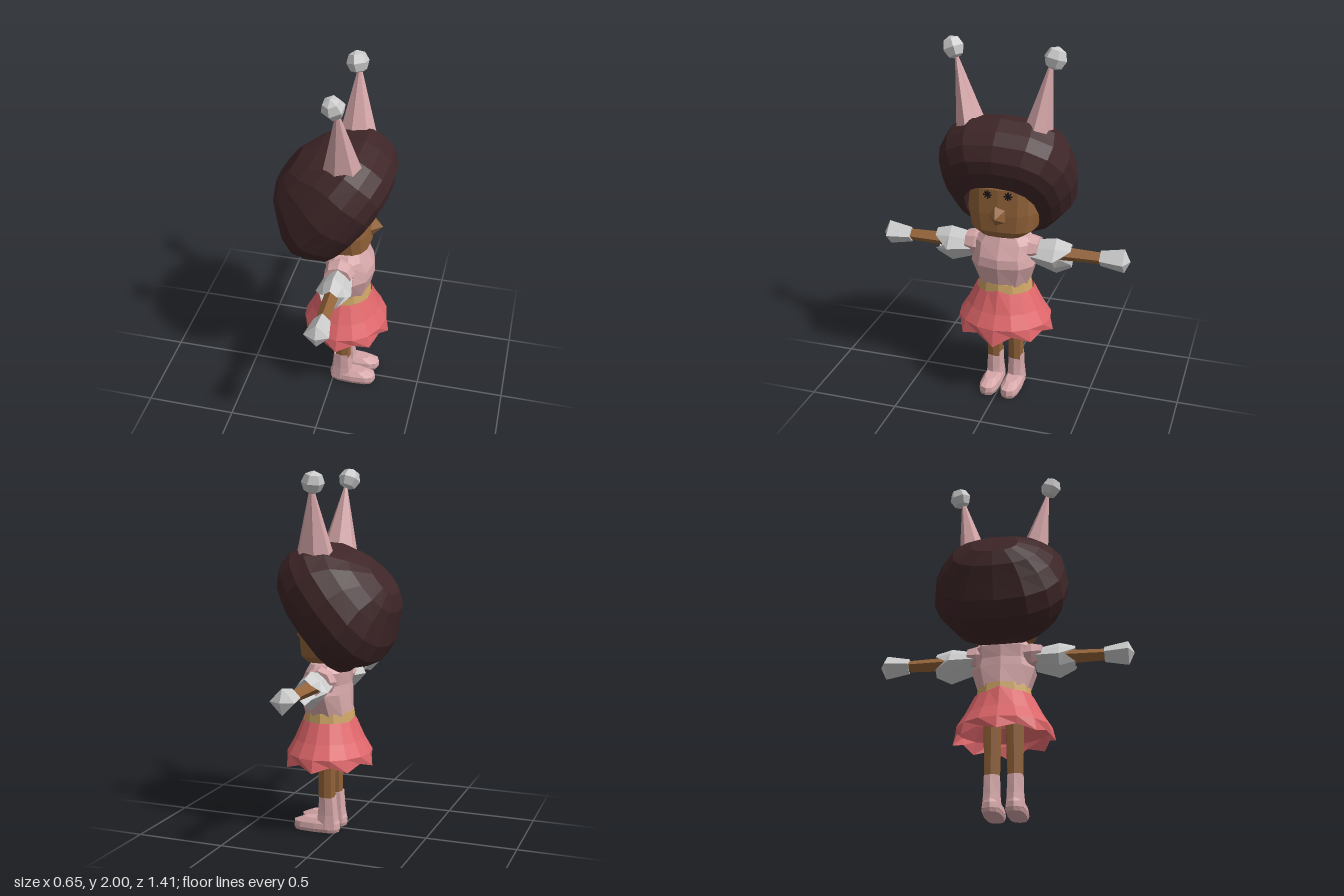
import * as THREE from 'three';

const mat = (name, color, side = THREE.FrontSide) => {
  const m = new THREE.MeshStandardMaterial({ color, side });
  m.name = name;
  return m;
};

// Faceted normals
const facet = (geo) => {
  const g = geo.index ? geo.toNonIndexed() : geo;
  g.computeVertexNormals();
  return g;
};

// Loft of superelliptic rings; each row is [y, centreX, radiusX, radiusZ, centreZ].
// shape(point, rowIndex, sideIndex) may move a vertex.
function loft(rows, sides, { power = 2, capped = true, shape } = {}) {
  const soft = (v) => Math.sign(v) * Math.pow(Math.abs(v), 2 / power);
  const rings = rows.map(([y, cx, rx, rz, cz = 0], r) =>
    Array.from({ length: sides }, (_, i) => {
      const a = (i / sides) * Math.PI * 2;
      const p = new THREE.Vector3(cx + rx * soft(Math.cos(a)), y, cz + rz * soft(Math.sin(a)));
      if (shape) shape(p, r, i);
      return p;
    }));
  if (capped) {
    const middle = ([y, cx, , , cz = 0]) => Array(sides).fill(new THREE.Vector3(cx, y, cz));
    rings.unshift(middle(rows[0]));
    rings.push(middle(rows[rows.length - 1]));
  }
  const pos = [];
  const tri = (a, b, c) => {
    if (a.distanceTo(b) > 1e-6 && b.distanceTo(c) > 1e-6 && c.distanceTo(a) > 1e-6)
      for (const p of [a, b, c]) pos.push(p.x, p.y, p.z);
  };
  for (let r = 0; r + 1 < rings.length; r++) {
    for (let i = 0; i < sides; i++) {
      const j = (i + 1) % sides;
      const [a, b, c, d] = [rings[r][i], rings[r][j], rings[r + 1][j], rings[r + 1][i]];
      tri(a, d, c);
      tri(a, c, b);
    }
  }
  const g = new THREE.BufferGeometry();
  g.setAttribute('position', new THREE.Float32BufferAttribute(pos, 3));
  return facet(g);
}

export function createModel() {
  const model = new THREE.Group();
  const hairBrown = mat('hairBrown', 0x3f2628);
  const skin = mat('skin', 0x936339);
  const pink = mat('pink', 0xd6a7a9);
  const grey = mat('grey', 0xcccccc, THREE.DoubleSide);
  const coral = mat('coral', 0xe0676b, THREE.DoubleSide);
  const tan = mat('tan', 0xcfa766);
  const ink = mat('ink', 0x1c1416);

  // Head, trunk and legs sit slightly to one side of the arm span
  const body = new THREE.Group();
  body.name = 'body';
  body.position.z = -0.011;
  model.add(body);

  const add = (name, geo, material, parent = body) => {
    const m = new THREE.Mesh(geo, material);
    m.name = name;
    parent.add(m);
    return m;
  };

  // Tilted dome of hair with a rolled fringe around the face
  const hair = add('hair', loft([
    [0.09, -0.33, 0.14, 0.15],
    [-0.05, -0.35, 0.235, 0.205],
    [-0.025, -0.315, 0.295, 0.27],
    [0.01, -0.285, 0.325, 0.315],
    [0.08, -0.28, 0.365, 0.36],
    [0.16, -0.285, 0.38, 0.378],
    [0.25, -0.275, 0.355, 0.362],
    [0.33, -0.28, 0.285, 0.31],
    [0.40, -0.31, 0.20, 0.24],
    [0.45, -0.33, 0.10, 0.13],
  ], 16, { power: 2.5 }), hairBrown);
  hair.position.set(0.3, 1.4, -0.002);
  hair.rotation.z = 0.906;

  // Head, nose and neck
  add('head', loft([
    [0.96, 0.065, 0.11, 0.12],
    [1.00, 0.045, 0.155, 0.18],
    [1.10, 0.025, 0.18, 0.20],
    [1.24, 0.02, 0.18, 0.20],
    [1.32, 0.00, 0.14, 0.16],
  ], 16, { power: 3 }), skin);
  const nose = add('nose', facet(new THREE.ConeGeometry(0.075, 0.075, 5)), skin);
  nose.rotation.z = -Math.PI / 2;
  nose.scale.z = 0.85;
  nose.position.set(0.222, 1.095, 0);
  add('neck', loft([[0.93, 0.05, 0.05, 0.05], [1.0, 0.05, 0.05, 0.05]], 8), skin);

  // Torso, belt and zigzag skirt
  add('torso', loft([
    [0.67, 0.06, 0.13, 0.142],
    [0.79, 0.08, 0.14, 0.182],
    [0.84, 0.08, 0.135, 0.168],
    [0.91, 0.06, 0.12, 0.172],
    [0.95, 0.06, 0.10, 0.135],
    [0.975, 0.05, 0.06, 0.06],
  ], 10, { power: 2.3 }), pink);
  add('belt', loft([[0.61, 0.06, 0.145, 0.158], [0.685, 0.06, 0.135, 0.146]], 12), tan);
  add('skirt', loft([
    [0.385, 0.06, 0.25, 0.278],
    [0.455, 0.06, 0.235, 0.262],
    [0.53, 0.06, 0.192, 0.215],
    [0.635, 0.06, 0.147, 0.162],
  ], 16, {
    capped: false,
    shape: (p, row, i) => {
      if (row === 0 && i % 2) {
        p.x = 0.06 + (p.x - 0.06) * 0.92;
        p.z *= 0.92;
        p.y += 0.03;
      }
      if (row === 0 && i === 0) p.y -= 0.025;
      if (row === 3 && i % 8 === 0) p.y += 0.02;
    },
  }), coral);

  for (const s of [1, -1]) {
    // Starburst eye of crossed thin strips
    const eye = new THREE.Group();
    eye.name = 'eye';
    eye.position.set(0.197, 1.21, s * 0.056);
    for (let k = 0; k < 4; k++) {
      add('lash', new THREE.BoxGeometry(0.008, 0.046, 0.007), ink, eye).rotation.x = (k * Math.PI) / 4;
    }
    body.add(eye);

    // Leaning horn with a pompom
    add('horn', loft([
      [1.50, 0.075, 0.118, 0.09, s * 0.17],
      [1.90, 0.065, 0.010, 0.010, s * 0.252 + 0.008],
    ], 7), pink);
    const pompom = add('pompom', facet(new THREE.SphereGeometry(0.062, 6, 4)), grey, model);
    pompom.position.set(0.05, s > 0 ? 1.945 : 1.925, s * 0.272);
    pompom.rotation.set(s * 0.3, 0.4, 0.2);

    // Arm built upward, then laid out sideways
    const arm = new THREE.Group();
    arm.name = 'arm';
    arm.position.set(0.056, 0.857, 0);
    arm.rotation.x = (s * Math.PI) / 2;
    add('shoulder', loft([
      [0.06, 0, 0.07, 0.07, -s * 0.01],
      [0.15, 0, 0.085, 0.08, -s * 0.01],
      [0.205, 0, 0.075, 0.06, -s * 0.015],
    ], 8), pink, arm);
    add('cuff', loft([
      [0.17, 0, 0.075, 0.07, s * 0.008],
      [0.30, 0, 0.098, 0.104, s * 0.018],
      [0.385, 0, 0.07, 0.07, s * 0.008],
    ], 8, {
      capped: false,
      shape: (p, row, i) => {
        if (i % 2) { p.x *= 0.76; p.z *= 0.76; }
        if (row === 2 && i % 4 === 0) p.y -= 0.055;
      },
    }), grey, arm);
    add('forearm', loft([[0.15, 0, 0.046, 0.046], [0.56, 0, 0.034, 0.034]], 4), skin, arm);
    add('hand', loft([
      [0.542, 0, 0.045, 0.045],
      [0.672, 0, 0.068, 0.07],
      [0.703, 0, 0.003, 0.003],
    ], 4), grey, arm);
    model.add(arm);

    // Leg and boot
    const z = s * 0.062;
    add('leg', loft([[0.17, 0.055, 0.045, 0.042, z], [0.6, 0.055, 0.052, 0.052, z - s * 0.003]], 8, { power: 3 }), skin);
    add('bootShaft', loft([
      [0.02, 0.05, 0.068, 0.054, z],
      [0.10, 0.05, 0.058, 0.046, z],
      [0.20, 0.05, 0.048, 0.044, z],
    ], 8, { power: 3 }), pink);
    add('bootFoot', loft([
      [0.0, 0.115, 0.130, 0.050, z],
      [0.02, 0.115, 0.137, 0.057, z],
      [0.05, 0.115, 0.135, 0.053, z],
      [0.075, 0.09, 0.10, 0.035, z],
    ], 12, { power: 2.8 }), pink);
  }

  return model;
}
